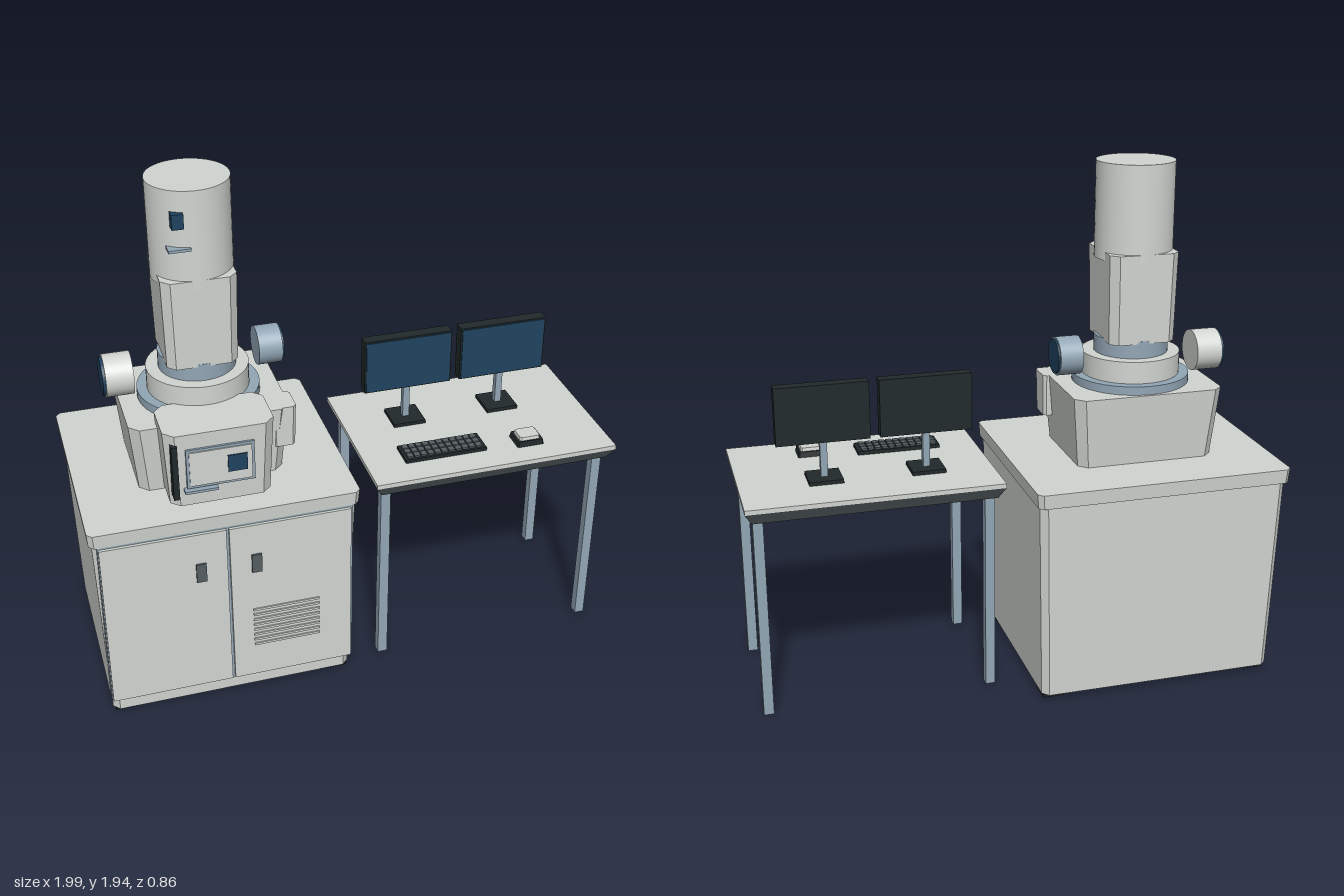
import * as THREE from 'three';

const mat = (name, color) => {
  const m = new THREE.MeshStandardMaterial({ color });
  m.name = name;
  return m;
};

export function createModel() {
  const light = mat('light grey', 0xd2d6d2);
  const steel = mat('blue steel', 0x93a7b6);
  const dark = mat('charcoal', 0x20292a);
  const mid = mat('slate grey', 0x565f63);
  const glass = mat('dark blue screen', 0x1f4360);

  const model = new THREE.Group();
  model.name = 'microscopeWorkstation';
  const group = (name) => {
    const g = new THREE.Group();
    g.name = name;
    model.add(g);
    return g;
  };
  const add = (parent, name, geometry, material) => {
    const mesh = new THREE.Mesh(geometry, material);
    mesh.name = name;
    parent.add(mesh);
    return mesh;
  };
  // Box given by its extents on each axis
  const box = (parent, name, material, x0, x1, y0, y1, z0, z1) => {
    const mesh = add(parent, name, new THREE.BoxGeometry(x1 - x0, y1 - y0, z1 - z0), material);
    mesh.position.set((x0 + x1) / 2, (y0 + y1) / 2, (z0 + z1) / 2);
    return mesh;
  };
  // Box with chamfered upright edges (c), narrowing to the bottom by an inset on each side
  const taperedBox = (parent, name, material, x0, x1, y0, y1, z0, z1, c, inset) => {
    const a = (x1 - x0) / 2, b = (z1 - z0) / 2;
    const shape = new THREE.Shape([
      [a - c, -b], [a, -b + c], [a, b - c], [a - c, b],
      [-a + c, b], [-a, b - c], [-a, -b + c], [-a + c, -b],
    ].map(([x, y]) => new THREE.Vector2(x, y)));
    const geometry = new THREE.ExtrudeGeometry(shape, { depth: y1 - y0, bevelEnabled: false });
    geometry.rotateX(-Math.PI / 2);
    const p = geometry.attributes.position;
    for (let i = 0; i < p.count; i++) {
      if (p.getY(i) < 0.0001) p.setXYZ(i, p.getX(i) * (1 - inset / a), 0, p.getZ(i) * (1 - inset / b));
    }
    geometry.computeVertexNormals();
    const mesh = add(parent, name, geometry, material);
    mesh.position.set((x0 + x1) / 2, y0, (z0 + z1) / 2);
    return mesh;
  };
  const cylinder = (parent, name, material, r, x, y0, y1, z) => {
    const mesh = add(parent, name, new THREE.CylinderGeometry(r, r, y1 - y0, 48), material);
    mesh.position.set(x, (y0 + y1) / 2, z);
    return mesh;
  };

  // Cabinet, countertop and feet
  const cabinet = group('cabinet');
  taperedBox(cabinet, 'cabinetBody', light, -0.985, -0.033, 0.02, 0.79, -0.42, 0.405, 0.025, 0.02);
  taperedBox(cabinet, 'countertop', light, -1, -0.02, 0.785, 0.84, -0.43, 0.415, 0.018, 0.004);
  for (const x of [-0.955, -0.14]) {
    for (const z of [-0.375, 0.27]) box(cabinet, 'foot', dark, x, x + 0.08, 0, 0.022, z, z + 0.095);
  }

  // Cabinet doors over a steel backing that shows in the gaps
  box(cabinet, 'doorBacking', steel, -0.97, -0.05, 0.088, 0.785, 0.36, 0.409, 0);
  box(cabinet, 'leftDoor', light, -0.966, -0.517, 0.094, 0.777, 0.405, 0.42);
  box(cabinet, 'rightDoor', light, -0.507, -0.058, 0.094, 0.777, 0.405, 0.42);
  for (const x of [-0.632, -0.43]) box(cabinet, 'doorHandle', mid, x, x + 0.037, 0.575, 0.652, 0.415, 0.428);
  for (let i = 0; i < 8; i++) {
    const y = 0.235 + i * 0.023;
    box(cabinet, 'ventSlat', light, -0.43, -0.18, y, y + 0.009, 0.415, 0.425);
  }

  // Specimen chamber with its projecting front door
  const chamber = group('chamber');
  taperedBox(chamber, 'chamberBody', light, -0.8, -0.222, 0.838, 1.11, -0.235, 0.218, 0.035, 0.025);
  taperedBox(chamber, 'chamberDoor', light, -0.705, -0.313, 0.855, 1.152, 0.14, 0.357, 0.035, 0.015);
  taperedBox(chamber, 'sidePort', light, -0.29, -0.2, 0.948, 1.11, 0.1, 0.212, 0.012, 0.004);
  box(chamber, 'hinge', dark, -0.684, -0.663, 0.9, 1.115, 0.31, 0.368);
  box(chamber, 'panelFrame', steel, -0.634, -0.392, 0.936, 1.092, 0.33, 0.362);
  box(chamber, 'panelFace', light, -0.624, -0.402, 0.946, 1.082, 0.33, 0.366);
  box(chamber, 'panelScreen', glass, -0.489, -0.42, 0.986, 1.052, 0.362, 0.371);
  box(chamber, 'doorGrip', steel, -0.645, -0.527, 0.922, 0.932, 0.33, 0.376);

  // Column stacked on the chamber
  const column = group('column');
  const cx = -0.51;
  cylinder(column, 'flange', steel, 0.222, cx, 1.1, 1.142, -0.003);
  cylinder(column, 'baseRing', light, 0.185, cx, 1.14, 1.225, -0.003);
  cylinder(column, 'collar', steel, 0.14, cx, 1.22, 1.29, -0.003);
  taperedBox(column, 'columnHousing', light, cx - 0.133, cx + 0.133, 1.28, 1.615, -0.147, 0.141, 0.03, 0.006);
  cylinder(column, 'columnHead', light, 0.146, cx, 1.585, 1.94, -0.003);
  box(column, 'statusDisplay', glass, -0.597, -0.556, 1.812, 1.866, 0.1, 0.15);
  box(column, 'headLedge', steel, -0.613, -0.535, 1.73, 1.74, 0.08, 0.15);

  // Side detectors with dark end caps: inner x, outer x, cap x, centre, radius
  const detectors = group('detectors');
  const detector = (name, material, x0, x1, capX, y, z, r) => {
    const drum = add(detectors, name, new THREE.CylinderGeometry(r, r, Math.abs(x1 - x0), 40), material);
    drum.rotation.z = Math.PI / 2;
    drum.position.set((x0 + x1) / 2, y, z);
    const cap = add(detectors, name + 'Cap', new THREE.CylinderGeometry(r * 0.9, r * 0.9, Math.abs(capX - x1), 40), glass);
    cap.rotation.z = Math.PI / 2;
    cap.position.set((capX + x1) / 2, y, z);
  };
  detector('rightDetector', light, -0.745, -0.845, -0.855, 1.208, -0.027, 0.078);
  detector('leftDetector', steel, -0.285, -0.197, -0.19, 1.233, -0.048, 0.072);

  // Desk
  const desk = group('desk');
  box(desk, 'deskTop', light, 0.05, 0.993, 0.815, 0.832, -0.26, 0.388);
  taperedBox(desk, 'deskUnderside', mid, 0.05, 0.993, 0.77, 0.815, -0.26, 0.388, 0.001, 0.025);
  for (const x of [0.083, 0.927]) {
    for (const z of [-0.216, 0.296]) box(desk, 'deskLeg', steel, x, x + 0.037, 0, 0.775, z, z + 0.037);
  }

  // Two monitors
  for (const x of [0.297, 0.678]) {
    const monitor = group('monitor');
    box(monitor, 'monitorBase', dark, x - 0.063, x + 0.063, 0.83, 0.846, -0.092, 0.032);
    box(monitor, 'monitorStem', steel, x - 0.013, x + 0.013, 0.84, 1.0, -0.044, -0.018);
    box(monitor, 'monitorCase', dark, x - 0.172, x + 0.172, 0.98, 1.198, -0.054, -0.008);
    box(monitor, 'monitorScreen', glass, x - 0.166, x + 0.166, 0.986, 1.192, -0.012, -0.004);
  }

  // Keyboard with three rows of keys
  const keyboard = group('keyboard');
  box(keyboard, 'keyboardBase', dark, 0.196, 0.514, 0.83, 0.846, 0.176, 0.28);
  for (let row = 0; row < 3; row++) {
    for (let i = 0; i < 11; i++) {
      const x = 0.207 + i * 0.027, z = 0.185 + row * 0.03;
      box(keyboard, 'key', mid, x, x + 0.022, 0.844, 0.853, z, z + 0.025);
    }
  }

  // Mouse
  const mouse = group('mouse');
  taperedBox(mouse, 'mouseBase', dark, 0.636, 0.734, 0.83, 0.853, 0.213, 0.295, 0.004, -0.004);
  taperedBox(mouse, 'mouseTop', light, 0.646, 0.724, 0.85, 0.866, 0.222, 0.286, 0.006, -0.003);

  return model;
}
